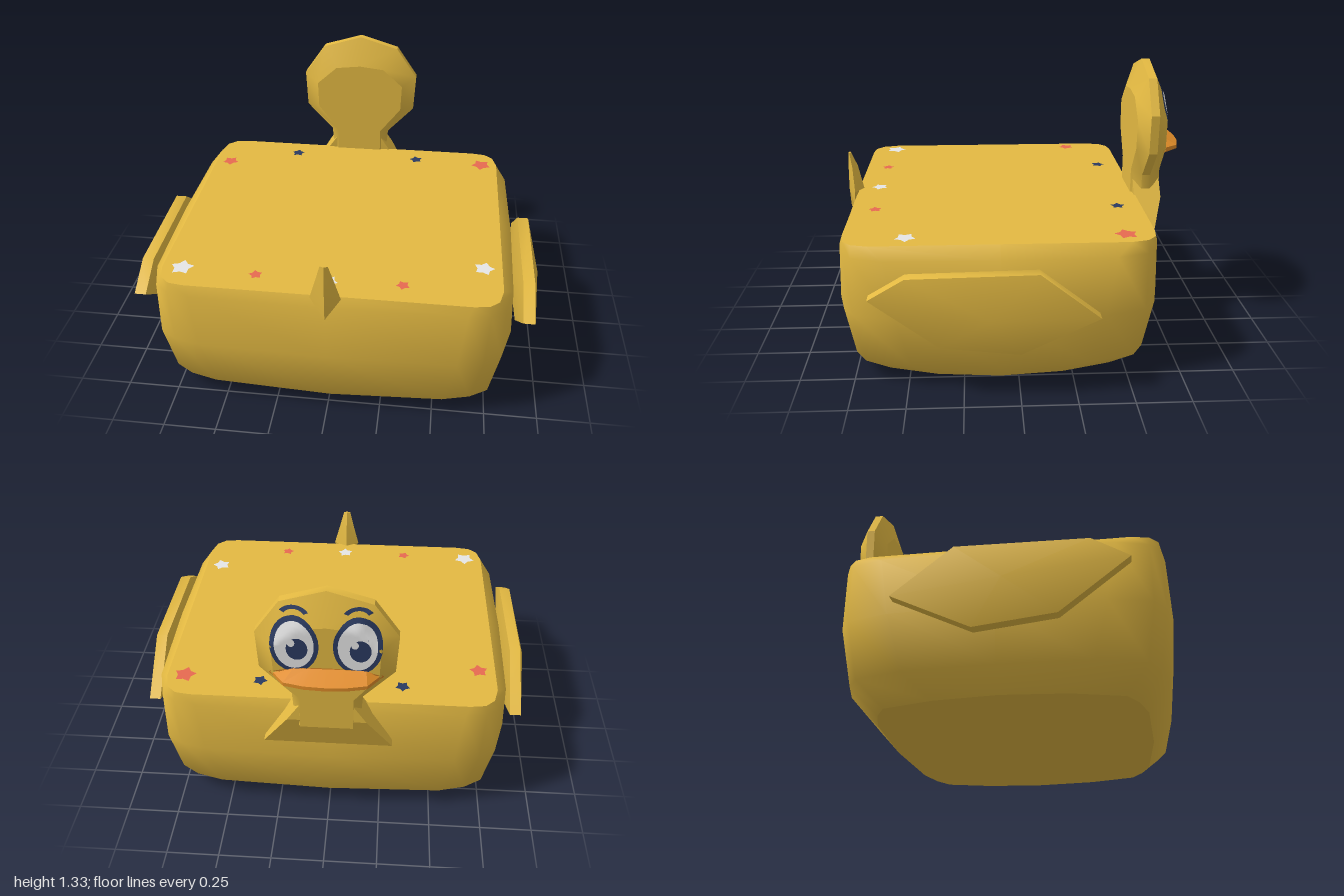
import * as THREE from 'three';
import { mergeGeometries, toCreasedNormals } from 'three/addons/utils/BufferGeometryUtils.js';

const mat = (name, color) => {
  const m = new THREE.MeshStandardMaterial({ color });
  m.name = name;
  return m;
};

const V = (p) => new THREE.Vector3(...p);

// Skin between matching rings of points, with flat caps and outward faces
function loft(rings, crease = 0.6) {
  const centre = (pts) => pts.reduce((s, p) => s.add(V(p)), new THREE.Vector3()).divideScalar(pts.length);
  const mid = centre(rings.flat());
  const sides = [], caps = [];
  let volume = 0;
  const tri = (list, a, b, c) => {
    const n = b.clone().sub(a).cross(c.clone().sub(a));
    if (n.length() < 1e-8) return;
    volume += n.dot(a.clone().sub(mid));
    list.push([a, b, c]);
  };
  const R = rings.map((r) => r.map(V)), n = R[0].length, last = R.length - 1;
  const c0 = centre(rings[0]), c1 = centre(rings[last]);
  for (let i = 0; i < n; i++) {
    const j = (i + 1) % n;
    for (let k = 0; k < last; k++) {
      tri(sides, R[k][i], R[k][j], R[k + 1][j]);
      tri(sides, R[k][i], R[k + 1][j], R[k + 1][i]);
    }
    tri(caps, c0, R[0][j], R[0][i]);
    tri(caps, c1, R[last][i], R[last][j]);
  }
  const build = (list, angle) => {
    const pts = list.flatMap(([a, b, c]) => (volume < 0 ? [a, c, b] : [a, b, c]));
    const g = new THREE.BufferGeometry().setFromPoints(pts);
    g.computeVertexNormals();
    return toCreasedNormals(g, angle);
  };
  return mergeGeometries([build(sides, crease), ...(caps.length ? [build(caps, 0.1)] : [])]);
}

// Closed outline mirrored in x from its right half, starting and ending on x = 0 or at an edge
const mirrorX = (half) => [...half, ...half.filter((p) => p[0] > 0).reverse().map(([x, y]) => [-x, y])];

export function createModel() {
  const group = new THREE.Group();
  const yellow = mat('duck yellow', 0xe3b942);
  const orange = mat('beak orange', 0xe08c28);
  const navy = mat('navy', 0x2a3a60);
  const white = mat('white', 0xe6e6e6);
  const red = mat('coral red', 0xe86a50);
  const add = (name, geometry, material) => {
    const m = new THREE.Mesh(geometry, material);
    m.name = name;
    group.add(m);
    return m;
  };

  // Cushion body: rounded-square rings, softer at the base and squarer on top
  const soft = [[1, 0], [0.98, 0.62], [0.92, 0.87], [0.83, 0.94], [0.69, 0.98], [0, 1]];
  const square = [[1, 0], [1, 0.82], [0.975, 0.93], [0.92, 0.985], [0.83, 1], [0, 1]];
  const bodyRing = ([y, a, b, t]) => {
    const q = soft.map(([x, z], i) => [x + (square[i][0] - x) * t, z + (square[i][1] - z) * t]);
    const forward = q.slice(0, 5), backward = q.slice(1).reverse();
    return [[1, 1, forward], [-1, 1, backward], [-1, -1, forward], [1, -1, backward]]
      .flatMap(([sx, sz, pts]) => pts.map(([x, z]) => [sx * x * a, y, 0.083 + sz * z * b]));
  };
  add('body', loft([
    [0, 0.75, 0.625, -0.8], [0.1, 0.84, 0.715, -0.3], [0.35, 0.87, 0.745, 0],
    [0.62, 0.845, 0.725, 0.4], [0.67, 0.785, 0.7, 1],
  ].map(bodyRing), 1.0), yellow);

  // Head: flat disc with bevelled faces and a short neck
  const rim = mirrorX([[0, 1.33], [0.2, 1.27], [0.31, 1.11], [0.3, 0.92], [0.16, 0.77], [0.15, 0.62]]);
  const face = mirrorX([[0, 1.18], [0.13, 1.165], [0.235, 1.07], [0.23, 0.93], [0.12, 0.79], [0.12, 0.62]]);
  const at = (outline, z) => outline.map(([x, y]) => [x, y, z]);
  const head = add('head', loft([at(face, -0.6), at(rim, -0.65), at(rim, -0.69), at(face, -0.745)]), yellow);

  // Chest flare below the head
  const slab = (y, x, z0, z1) => [[x, y, z0], [x, y, z1], [-x, y, z1], [-x, y, z0]];
  add('chest', loft([
    slab(0.8, 0.085, -0.61, -0.74), slab(0.66, 0.18, -0.61, -0.745), slab(0.47, 0.3, -0.65, -0.69),
  ], 0.3), yellow);

  // Face details are draped over the front of the head
  const ray = new THREE.Raycaster();
  function drape(name, geometry, material, lift) {
    const p = geometry.attributes.position;
    for (let i = 0; i < p.count; i++) {
      ray.set(new THREE.Vector3(p.getX(i), p.getY(i), -2), new THREE.Vector3(0, 0, 1));
      const hit = ray.intersectObject(head)[0];
      p.setZ(i, (hit ? hit.point.z : -0.69) - lift);
    }
    // Reverse the faces so they look toward -z
    const idx = geometry.index.array;
    for (let i = 0; i < idx.length; i += 3) [idx[i], idx[i + 1]] = [idx[i + 1], idx[i]];
    geometry.computeVertexNormals();
    add(name, geometry, material);
  }
  const oval = (x, y, rx, ry, inner = 0, start = 0, sweep = Math.PI * 2) =>
    new THREE.RingGeometry(inner, 1, 28, 6, start, sweep).scale(rx, ry, 1).translate(x, y, 0);
  for (const s of [1, -1]) {
    const x = s * 0.135, y = 1.085;
    drape('eyeOutline', oval(x, y, 0.105, 0.14), navy, 0.003);
    drape('eyeWhite', oval(x, y, 0.085, 0.118), white, 0.005);
    drape('pupil', oval(x - 0.012, y - 0.015, 0.046, 0.056), navy, 0.007);
    drape('eyeHighlight', oval(x + 0.012, y + 0.018, 0.016, 0.02), white, 0.009);
    drape('eyebrow', oval(x, 1.215, 0.07, 0.05, 0.68, 0.5, 2.14), navy, 0.004);
  }
  drape('beakBase', oval(0, 0.925, 0.25, 0.045), orange, 0.003);

  // Beak: wide bill thinning toward its tip
  const bill = [[-0.23, 0], [-0.18, 0.065], [-0.09, 0.085], [0, 0.09], [0.09, 0.085], [0.18, 0.065], [0.23, 0]];
  const billRing = (y, k) => bill.map(([x, d]) => [x * k, y, -0.745 - d * k]);
  const root = (y, w) => bill.map(([x]) => [x * w, y, -0.738]);
  add('beak', loft([root(0.968, 0.75), billRing(0.933, 1), billRing(0.915, 1), root(0.885, 0.75)], 0.3), orange);

  // Wings: thin slabs with a shallow peak on both faces
  const wing = [[0.65, 0.49], [0.49, 0.585], [-0.08, 0.595], [-0.345, 0.385], [0, 0.22], [0.35, 0.26]];
  for (const s of [1, -1]) {
    const ring = (x, k) => wing.map(([z, y]) => [s * x, 0.41 + (y - 0.41) * k, 0.13 + (z - 0.13) * k]);
    add(s > 0 ? 'leftWing' : 'rightWing', loft([ring(0.86, 0), ring(0.89, 1), ring(0.945, 1), ring(1, 0)], 0.8), yellow);
  }

  // Tail: small upright spike
  const diamond = ([y, x, z0, z1]) => [[x, y, (z0 + z1) / 2], [0, y, z1], [-x, y, (z0 + z1) / 2], [0, y, z0]];
  add('tail', loft([
    [0.57, 0.004, 0.8, 0.832], [0.67, 0.07, 0.762, 0.838], [0.79, 0.037, 0.788, 0.836], [0.862, 0.018, 0.818, 0.832],
  ].map(diamond), 0.4), yellow);

  // Stars scattered over the top
  const stars = [
    [-0.34, -0.5, 0.036, navy], [0.335, -0.5, 0.036, navy], [0.7, -0.48, 0.055, red],
    [-0.705, -0.36, 0.045, red], [0.7, 0.5, 0.05, white], [-0.69, 0.655, 0.056, white],
    [-0.34, 0.67, 0.033, red], [0.335, 0.67, 0.033, red], [0, 0.68, 0.042, white],
  ];
  stars.forEach(([x, z, r, material], k) => {
    const pts = Array.from({ length: 10 }, (_, i) => {
      const a = (i * Math.PI) / 5 + Math.PI / 2 + k * 0.25, d = i % 2 ? r * 0.62 : r;
      return new THREE.Vector2(Math.cos(a) * d, Math.sin(a) * d);
    });
    const g = new THREE.ShapeGeometry(new THREE.Shape(pts)).rotateX(-Math.PI / 2);
    add('star', g.translate(x, 0.674, z), material);
  });

  return group;
}
